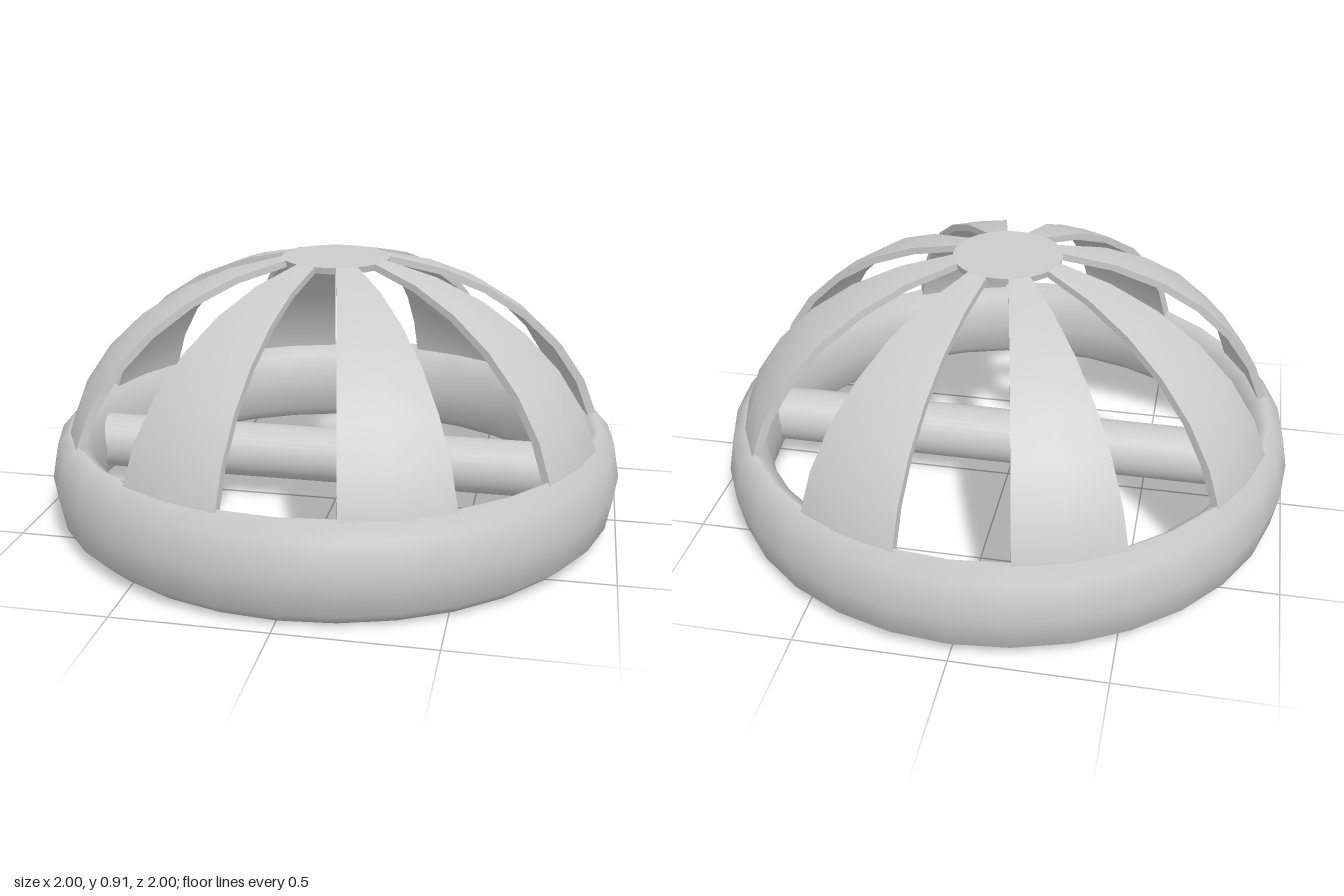
import * as THREE from 'three';

const SEGMENTS = 32;
const RIBS = 8;
const BASE_Y = 0.17;
const CAP_ANGLE = Math.PI / 16;

// Quarter-ellipse arc from the dome's equator up to the edge of the cap
function domeArc(radius, height, steps = 7) {
  const points = [];
  for (let i = 0; i <= steps; i++) {
    const a = Math.PI / 2 + (CAP_ANGLE - Math.PI / 2) * (i / steps);
    points.push(new THREE.Vector2(radius * Math.sin(a), BASE_Y + height * Math.cos(a)));
  }
  return points;
}

export function createModel() {
  const model = new THREE.Group();
  const material = new THREE.MeshStandardMaterial({ color: 0xcccccc });
  const sideMaterial = new THREE.MeshStandardMaterial({ color: 0xcccccc, side: THREE.DoubleSide });

  const add = (parent, name, geometry, mat = material) => {
    const mesh = new THREE.Mesh(geometry, mat);
    mesh.name = name;
    parent.add(mesh);
    return mesh;
  };

  // Tall oval-section base ring
  const ring = new THREE.TorusGeometry(0.923, 0.077, 8, SEGMENTS);
  ring.scale(1, 1, 0.168 / 0.077);
  ring.rotateX(Math.PI / 2);
  ring.translate(0, 0.168, 0);
  add(model, 'baseRing', ring);

  // Round bar across the ring
  const bar = new THREE.CylinderGeometry(0.098, 0.098, 1.8, 32);
  bar.rotateZ(Math.PI / 2);
  bar.translate(0, BASE_Y, 0);
  add(model, 'crossBar', bar);

  // Curved ribs: outer skin, inner skin and two flat sides
  const outer = domeArc(0.955, 0.75);
  const inner = domeArc(0.925, 0.727).reverse();
  const sideGeometry = new THREE.ShapeGeometry(new THREE.Shape([...outer, ...inner]));
  const span = Math.PI / RIBS;
  for (let i = 0; i < RIBS; i++) {
    const start = (i + 0.25) * 2 * span;
    const rib = new THREE.Group();
    rib.name = `rib${i + 1}`;
    add(rib, 'ribOuter', new THREE.LatheGeometry(outer, 2, start, span));
    add(rib, 'ribInner', new THREE.LatheGeometry(inner, 2, start, span));
    for (const angle of [start, start + span]) {
      add(rib, 'ribSide', sideGeometry, sideMaterial).rotation.y = angle - Math.PI / 2;
    }
    model.add(rib);
  }

  // Thin round cap joining the ribs
  const top = outer[outer.length - 1];
  const under = inner[0];
  const edge = [under, top];
  add(model, 'capTop', new THREE.LatheGeometry([top, new THREE.Vector2(0, top.y + 0.002)], SEGMENTS));
  add(model, 'capEdge', new THREE.LatheGeometry(edge, SEGMENTS));
  add(model, 'capUnderside', new THREE.LatheGeometry([new THREE.Vector2(0, under.y), under], SEGMENTS));

  return model;
}
